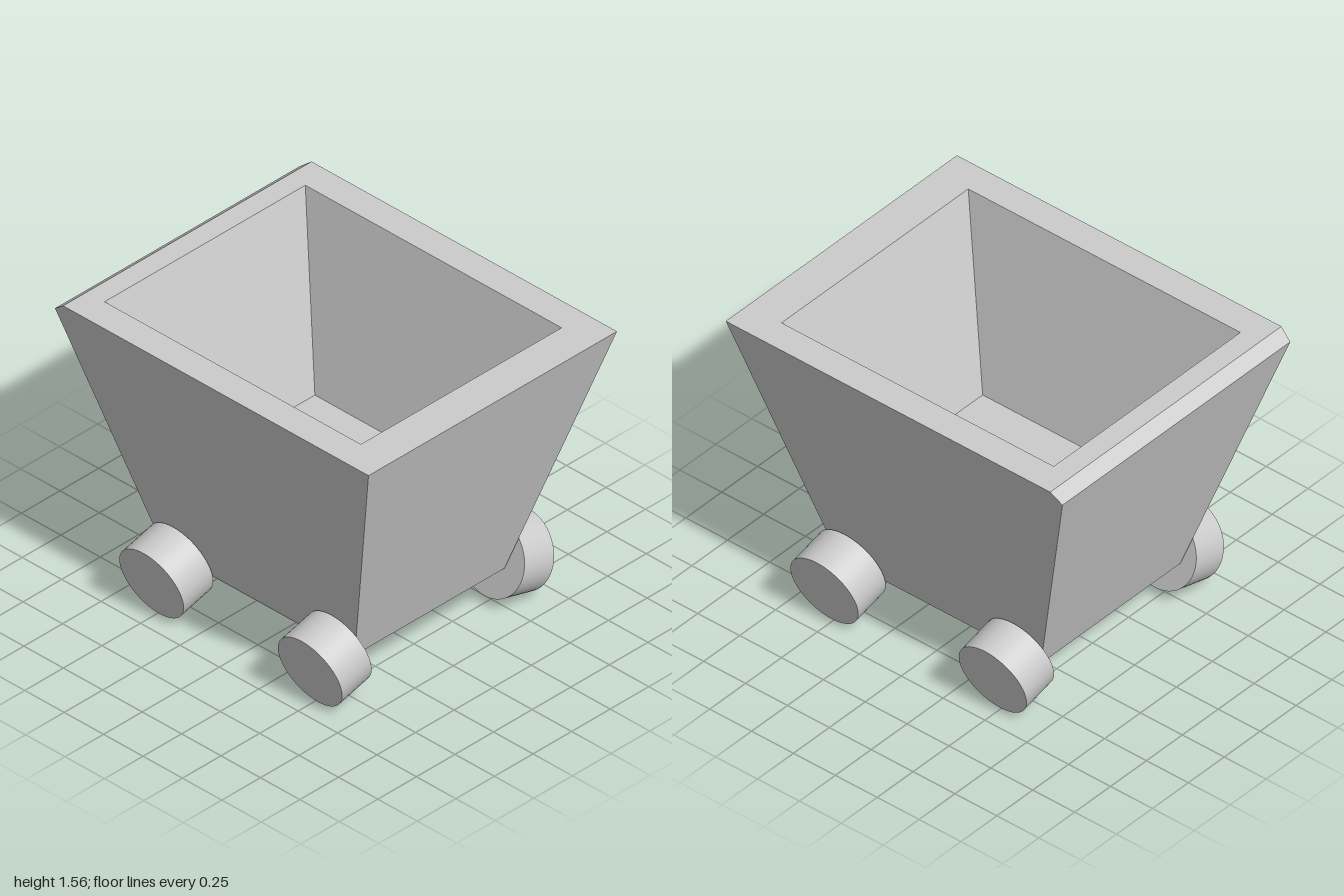
import * as THREE from 'three';

const material = new THREE.MeshStandardMaterial({ color: 0xcccccc });

// Four corners of a tub cross-section, counter-clockwise from above
function ring(xFront, yFront, zFront, xBack, yBack, zBack) {
  return [
    [xFront, yFront, zFront], [xBack, yBack, zBack],
    [-xBack, yBack, zBack], [-xFront, yFront, zFront],
  ].map((p) => new THREE.Vector3(...p));
}

// Flat-faced skin through successive rings, closed at both ends
function skin(rings) {
  const positions = [];
  const tri = (a, b, c) => {
    if (new THREE.Triangle(a, b, c).getArea() < 1e-6) return;
    for (const p of [a, b, c]) positions.push(p.x, p.y, p.z);
  };
  const quad = (a, b, c, d) => { tri(a, b, c); tri(a, c, d); };
  for (let r = 0; r < rings.length - 1; r++) {
    const lo = rings[r], hi = rings[r + 1];
    for (let i = 0; i < 4; i++) {
      const j = (i + 1) % 4;
      quad(lo[i], lo[j], hi[j], hi[i]);
    }
  }
  const first = rings[0], last = rings[rings.length - 1];
  quad(first[3], first[2], first[1], first[0]);
  quad(...last);
  const geometry = new THREE.BufferGeometry();
  geometry.setAttribute('position', new THREE.Float32BufferAttribute(positions, 3));
  geometry.computeVertexNormals();
  return geometry;
}

export function createModel() {
  const cart = new THREE.Group();
  cart.name = 'mineCart';

  // Tapered tub with thick walls and a chamfered rear rim
  const tub = new THREE.Mesh(skin([
    ring(0.485, 0.225, 0.6, 0.485, 0.225, -0.608),    // underside
    ring(0.805, 1.565, 1.0, 0.793, 1.515, -1.0),      // outer rim, below chamfer
    ring(0.805, 1.565, 1.0, 0.805, 1.565, -0.937),    // outer rim, above chamfer
    ring(0.65, 1.565, 0.8, 0.65, 1.565, -0.825),      // inner rim
    ring(0.431, 0.65, 0.526, 0.431, 0.65, -0.55),     // inner floor
  ]), material);
  tub.name = 'tub';
  cart.add(tub);

  // Four wheels, leaning with the side walls
  const wheelGeometry = new THREE.CylinderGeometry(0.198, 0.198, 0.198, 48);
  const lean = THREE.MathUtils.degToRad(15);
  for (const side of [1, -1]) {
    for (const [end, z] of [['front', 0.513], ['back', -0.492]]) {
      const wheel = new THREE.Mesh(wheelGeometry, material);
      wheel.name = end + (side > 0 ? 'Left' : 'Right') + 'Wheel';
      wheel.position.set(side * 0.591, 0.217, z);
      wheel.rotation.z = side * (Math.PI / 2 - lean);
      cart.add(wheel);
    }
  }
  return cart;
}
